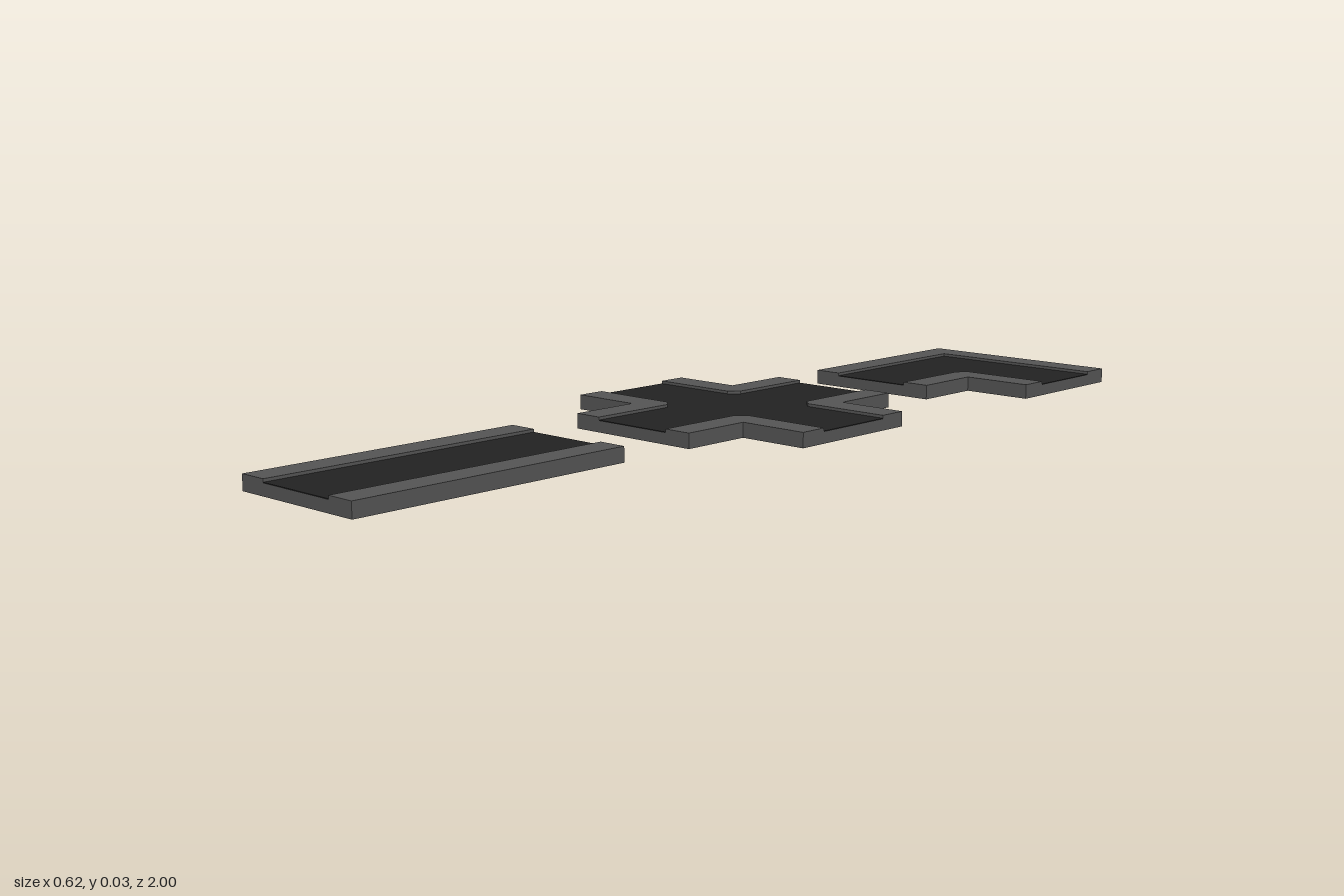
import * as THREE from 'three';

const W = 0.154;    // half width of a tile arm
const R = 0.092;    // half width of the road
const L = 0.308;    // reach of an arm from the tile centre
const C = 0.02;     // chamfer of the inner kerb corners
const BASE = 0.023, ROAD = 0.025, KERB = 0.031;

export function createModel() {
  const model = new THREE.Group();
  const kerbGrey = new THREE.MeshStandardMaterial({ color: 0x555555 });
  kerbGrey.name = 'kerb grey';
  const asphalt = new THREE.MeshStandardMaterial({ color: 0x222222 });
  asphalt.name = 'asphalt';

  // Flat slab from an outline of [x, z] points
  function slab(parent, name, points, y0, y1, material) {
    const shape = new THREE.Shape(points.map(([x, z]) => new THREE.Vector2(x, -z)));
    const geometry = new THREE.ExtrudeGeometry(shape, { depth: y1 - y0, bevelEnabled: false });
    geometry.rotateX(-Math.PI / 2).translate(0, y0, 0);
    const mesh = new THREE.Mesh(geometry, material);
    mesh.name = name;
    parent.add(mesh);
  }

  function tile(name, z, outline, road, kerbs) {
    const group = new THREE.Group();
    group.name = name;
    group.position.z = z;
    slab(group, 'base', outline, 0, BASE, kerbGrey);
    slab(group, 'roadSurface', road, BASE, ROAD, asphalt);
    kerbs.forEach((k) => slab(group, 'kerb', k, BASE, KERB, kerbGrey));
    model.add(group);
  }

  const rect = (x0, z0, x1, z1) => [[x0, z0], [x1, z0], [x1, z1], [x0, z1]];
  // L-shaped kerb with a chamfered tip, mirrored into a quadrant
  const cornerKerb = (sx, sz) => [
    [W, L], [R, L], [R, R + C], [R + C, R], [L, R], [L, W], [W, W],
  ].map(([x, z]) => [x * sx, z * sz]);

  // Straight tile
  tile('straightRoad', 0.692, rect(-W, -L, W, L), rect(-R, -L, R, L),
    [rect(-W, -L, -R, L), rect(R, -L, W, L)]);

  // Crossing tile: outlines made by turning one quadrant four times
  const turn = (points) => {
    const out = [];
    for (let i = 0; i < 4; i++) {
      const c = [1, 0, -1, 0][i], s = [0, 1, 0, -1][i];
      points.forEach(([x, z]) => out.push([x * c - z * s, x * s + z * c]));
    }
    return out;
  };
  tile('crossing', -0.096,
    turn([[L, W], [W, W], [W, L]]),
    turn([[L, R], [R + C, R], [R, R + C], [R, L]]),
    [cornerKerb(1, 1), cornerKerb(-1, 1), cornerKerb(-1, -1), cornerKerb(1, -1)]);

  // Bend tile
  const bend = (a) => [[-a, L], [-a, -a], [L, -a]];
  tile('bend', -0.846,
    [...bend(W), [L, W], [W, W], [W, L]],
    [...bend(R), [L, R], [R + C, R], [R, R + C], [R, L]],
    [[...bend(W), ...bend(R).reverse()], cornerKerb(1, 1)]);

  return model;
}
